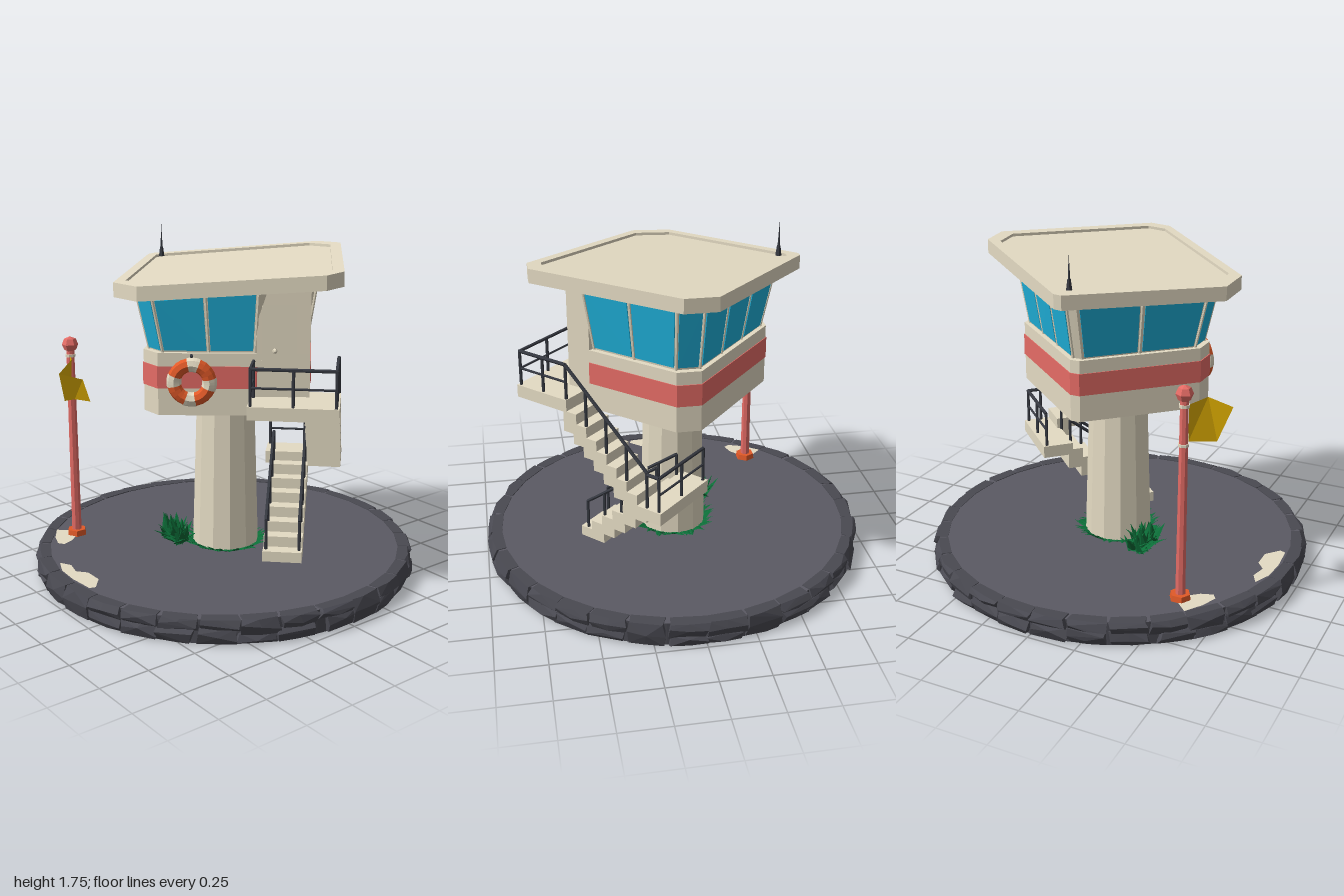
import * as THREE from 'three';
import { mergeGeometries } from 'three/addons/utils/BufferGeometryUtils.js';
import { ConvexGeometry } from 'three/addons/geometries/ConvexGeometry.js';

const V = (x, y, z) => new THREE.Vector3(x, y, z);
const paint = (name, color, extra = {}) => {
  const m = new THREE.MeshStandardMaterial({ color, flatShading: true, ...extra });
  m.name = name;
  return m;
};

export function createModel() {
  const M = {
    cream: paint('cream', 0xe4dbc3), glass: paint('glass blue', 0x20b4de), red: paint('faded red', 0xe56c66),
    floor: paint('floor grey', 0x5b5a63), stone: paint('stone grey', 0x494951),
    green: paint('leaf green', 0x0c6e38, { side: THREE.DoubleSide }),
    yellow: paint('flag yellow', 0xe2b000, { side: THREE.DoubleSide }),
    orange: paint('orange', 0xe25a28), rail: paint('rail', 0x363941),
  };
  let seed = 7;
  const rnd = (a, b) => { seed = (seed * 16807) % 2147483647; return a + (b - a) * seed / 2147483647; };

  const root = new THREE.Group();
  root.name = 'watchtower';
  const group = (name) => { const g = new THREE.Group(); g.name = name; root.add(g); return g; };
  const add = (parent, name, geo, mat, x = 0, y = 0, z = 0) => {
    const m = new THREE.Mesh(geo, mat);
    m.name = name;
    m.position.set(x, y, z);
    parent.add(m);
    return m;
  };
  const hull = (pts) => new ConvexGeometry(pts);
  const bar = (a, b, r = 0.008) => {
    const d = b.clone().sub(a), g = new THREE.CylinderGeometry(r, r, d.length(), 6);
    g.applyQuaternion(new THREE.Quaternion().setFromUnitVectors(V(0, 1, 0), d.normalize()));
    const c = a.clone().add(b).multiplyScalar(0.5);
    return g.translate(c.x, c.y, c.z);
  };

  // Round base with a rim of rough stones, some whole and some split in two
  const base = group('base');
  add(base, 'groundDisc', new THREE.CylinderGeometry(0.965, 0.965, 0.12, 64), [M.stone, M.floor, M.stone], 0, 0.06, 0);
  const stones = [];
  const stone = (a0, a1, y0, y1) => {
    const pts = [];
    for (const a of [a0, (a0 + a1) / 2, a1]) {
      const at = (r, y, da = 0) => pts.push(V(Math.sin(a + da) * r, y, Math.cos(a + da) * r));
      at(0.92, y0); at(0.92, y1);
      at(rnd(0.965, 0.985), y0, rnd(-0.015, 0.015)); at(rnd(0.965, 0.985), y1, rnd(-0.015, 0.015));
      at(rnd(0.985, 1), (y0 + y1) / 2 + rnd(-0.02, 0.02));
    }
    stones.push(hull(pts));
  };
  const slots = 32, step = Math.PI * 2 / slots;
  for (let i = 0; i < slots; i++) {
    const a0 = (i + rnd(0.02, 0.08)) * step, a1 = (i + rnd(0.95, 1.02)) * step, top = 0.125 - rnd(0, 0.003);
    if (rnd(0, 1) < 0.3) { stone(a0, a1, 0.004, top); continue; }
    const mid = rnd(0.035, 0.08), shift = rnd(-0.2, 0.2) * step;
    stone(a0, a1, mid, top);
    stone(a0 + shift, a1 + shift, 0.004, mid + 0.008);
  }
  add(base, 'rimStones', mergeGeometries(stones), M.stone);
  const patch = (pts) => {
    const g = new THREE.ShapeGeometry(new THREE.Shape(pts.map(([x, z]) => new THREE.Vector2(x, -z))));
    add(base, 'sandPatch', g.rotateX(-Math.PI / 2), M.cream, 0, 0.123, 0);
  };
  patch([[-0.65, 0.65], [-0.6, 0.6], [-0.53, 0.59], [-0.47, 0.66], [-0.45, 0.72], [-0.48, 0.74], [-0.56, 0.71]]);
  patch([[-0.25, 0.86], [-0.19, 0.83], [-0.11, 0.85], [-0.06, 0.81], [0.04, 0.81], [0.11, 0.87], [0.1, 0.9], [-0.04, 0.91], [-0.16, 0.9]]);

  // Column
  add(root, 'column', new THREE.CylinderGeometry(0.15, 0.175, 0.8, 12), M.cream, 0, 0.51, -0.01);

  // Cabin: plan outline, with a solid door corner between P and Q
  const cx = 0.03, cz = -0.03;
  const P = [0.37, 0.09], Q = [0.44, -0.195], R1 = [0.5, -0.07], R2 = [0.535, -0.108];
  const glazed = [P, [0.07, 0.46], [-0.05, 0.46], [-0.48, 0.02], [-0.48, -0.03], [-0.05, -0.53], [0.07, -0.53], Q];
  const roofY = (x, z) => 1.597 + 0.031 * x - 0.072 * z;
  const ring = (pts, k, y) => pts.map(([x, z]) => {
    const px = cx + (x - cx) * k, pz = cz + (z - cz) * k;
    return V(px, typeof y === 'function' ? y(px, pz) : y, pz);
  });
  const prism = (pts, k0, y0, k1, y1) => hull([...ring(pts, k0, y0), ...ring(pts, k1, y1)]);
  const ceiling = (x, z) => roofY(x, z) - 0.065;
  const cabin = group('cabin');
  add(cabin, 'cabinBody', prism([...glazed, R2, R1], 1, 0.905, 1, 1.215), M.cream);
  add(cabin, 'cabinStripe', prism(glazed, 1.01, 1.04, 1.01, 1.15), M.red);
  add(cabin, 'doorCorner', prism([P, R1, R2, Q, [0.2, -0.03]], 1, 1.2, 1, ceiling), M.cream);
  add(cabin, 'windowWall', prism(glazed, 0.935, 1.21, 1.07, ceiling), M.cream);

  // Thin plate on a sloped quad: lower edge a0-b0, upper edge a1-b1
  const plate = (a0, b0, a1, b1, u0, u1, v0, v1, out) => {
    const n = b0.clone().sub(a0).cross(a1.clone().sub(a0)).normalize();
    if (n.x * (a0.x + b0.x - 2 * cx) + n.z * (a0.z + b0.z - 2 * cz) < 0) n.negate();
    const pts = [];
    for (const u of [u0, u1]) for (const v of [v0, v1]) {
      const p = a0.clone().lerp(b0, u).lerp(a1.clone().lerp(b1, u), v);
      pts.push(p.clone().addScaledVector(n, -0.003), p.addScaledVector(n, out));
    }
    return hull(pts);
  };
  const low = ring(glazed, 0.935, 1.21), high = ring(glazed, 1.07, ceiling);
  [[0, 2], [1, 1], [2, 2], [4, 3], [5, 1], [6, 2]].forEach(([i, panes]) => {
    const q = [low[i], low[i + 1], high[i], high[i + 1]], m = panes === 1 ? 0.07 : 0.022;
    for (let k = 0; k < panes; k++) {
      add(cabin, 'windowPane', plate(...q, k / panes + m, (k + 1) / panes - m, 0.05, 0.91, 0.006), M.glass);
    }
    for (let k = 0; k <= panes; k++) {
      add(cabin, 'windowMullion', bar(q[0].clone().lerp(q[1], k / panes), q[2].clone().lerp(q[3], k / panes)), M.cream);
    }
  });
  const d = [V(P[0], 1, P[1]), V(R1[0], 1, R1[1]), V(P[0], 1.45, P[1]), V(R1[0], 1.45, R1[1])];
  add(cabin, 'door', plate(...d, 0.12, 0.92, 0, 1, 0.005), M.cream);
  add(cabin, 'doorHandle', new THREE.IcosahedronGeometry(0.014, 0), M.cream, 0.435, 1.23, 0.03);

  // Tilted roof with a raised rim
  const roof = group('roof');
  const plan = [[-0.645, -0.02], [-0.645, 0.02], [-0.09, 0.6], [0.11, 0.6], [0.71, -0.04], [0.71, -0.15], [0.075, -0.727], [-0.09, -0.71]];
  const drop = (h) => (x, z) => roofY(x, z) - h;
  add(roof, 'roofSlab', prism(plan, 0.99, drop(0.07), 0.99, drop(0.014)), M.cream);
  const outer = [ring(plan, 1, drop(0.071)), ring(plan, 1, drop(0))], inner = [ring(plan, 0.9, drop(0.06)), ring(plan, 0.9, drop(0))];
  plan.forEach((_, i) => {
    const j = (i + 1) % plan.length;
    add(roof, 'roofRim', hull([...outer, ...inner].flatMap((r) => [r[i], r[j]])), M.cream);
  });
  add(roof, 'antennaBase', new THREE.CylinderGeometry(0.009, 0.016, 0.05, 6), M.rail, -0.54, 1.6, 0.005);
  add(roof, 'antenna', new THREE.ConeGeometry(0.008, 0.15, 6), M.rail, -0.54, 1.672, 0.005);

  // Lifebuoy: four orange arcs with cream bands between
  const buoy = group('lifebuoy');
  buoy.position.set(0.2, 1.08, 0.353);
  buoy.rotation.y = Math.atan2(0.777, 0.63);
  for (let i = 0; i < 4; i++) {
    const arcs = [['buoyArc', M.orange, 1.0, 0, 0.034], ['buoyBand', M.cream, Math.PI / 2 - 1.0, 1.0, 0.036]];
    for (const [name, mat, arc, start, tube] of arcs) {
      add(buoy, name, new THREE.TorusGeometry(0.086, tube, 8, 4, arc), mat).rotation.z = i * Math.PI / 2 + start + 0.2;
    }
  }
  add(buoy, 'buoyHook', bar(V(0, 0.1, -0.03), V(0, 0.135, 0.01)), M.rail);

  // Stairs, in a frame turned 45 degrees: x runs along the flights, z = -t points inward
  const stairs = group('stairs');
  stairs.rotation.y = -Math.PI / 4;
  const block = (name, s0, s1, t0, t1, y0, y1) =>
    add(stairs, name, new THREE.BoxGeometry(s1 - s0, y1 - y0, t1 - t0), M.cream, (s0 + s1) / 2, (y0 + y1) / 2, -(t0 + t1) / 2);
  block('upperLanding', 0.2, 0.515, 0.17, 0.605, 0.935, 1.0);
  block('middleLanding', -0.36, -0.2, 0.2, 0.605, 0.49, 0.555);
  for (let i = 0; i < 7; i++) {
    const top = 0.175 + i * 0.055, s = 0.28 - i * 0.069;
    block('lowerStep', s - 0.08, s, 0.23, 0.43, Math.max(0.115, top - 0.11), top);
    block('upperStep', -0.22 + i * 0.06, -0.14 + i * 0.06, 0.43, 0.605, 0.5 + i * 0.055, 0.61 + i * 0.055);
  }

  // Railings: posts with a top rail and, on the landings, a middle rail
  const railing = (name, a, b, posts, h, mids = [0.52]) => {
    const parts = [], up = (p, k) => p.clone().setY(p.y + h * k);
    for (let i = 0; i < posts; i++) {
      const p = a.clone().lerp(b, i / (posts - 1));
      parts.push(bar(p, up(p, 1)));
    }
    for (const k of [1, ...mids]) parts.push(bar(up(a, k), up(b, k), k === 1 ? 0.009 : 0.006));
    add(stairs, name, mergeGeometries(parts), M.rail);
  };
  const T = (s, y, t) => V(s, y, -t);
  railing('landingRail', T(0.34, 0.99, 0.185), T(0.5, 0.99, 0.185), 2, 0.19);
  railing('landingRail', T(0.5, 0.99, 0.185), T(0.5, 0.99, 0.59), 3, 0.19);
  railing('landingRail', T(0.5, 0.99, 0.59), T(0.21, 0.99, 0.59), 3, 0.19);
  railing('upperFlightRail', T(0.21, 0.98, 0.59), T(-0.27, 0.545, 0.59), 5, 0.2, []);
  railing('middleLandingRail', T(-0.34, 0.545, 0.59), T(-0.34, 0.545, 0.215), 3, 0.19);
  railing('middleLandingRail', T(-0.34, 0.545, 0.59), T(-0.27, 0.545, 0.59), 2, 0.19, []);
  for (const t of [0.245, 0.415]) railing('lowerFlightRail', T(0.245, 0.16, t), T(-0.2, 0.5, t), 5, 0.17, []);

  // Flagpole and flag
  const pole = group('flagpole');
  pole.position.set(-0.545, 0, 0.585);
  add(pole, 'poleFoot', new THREE.CylinderGeometry(0.05, 0.055, 0.03, 6), M.orange, 0, 0.135, 0);
  add(pole, 'pole', new THREE.CylinderGeometry(0.021, 0.026, 1.02, 8), M.red, 0, 0.64, 0);
  add(pole, 'poleTop', new THREE.SphereGeometry(0.042, 6, 4), M.red, 0, 1.168, 0);
  for (const y of [0.92, 1.11]) add(pole, 'flagTie', new THREE.CylinderGeometry(0.027, 0.027, 0.014, 8), M.cream, 0, y, 0);
  // Columns of x, top y, bottom y, top z, bottom z
  const cols = [[-0.525, 1.11, 0.93, 0.6, 0.6], [-0.42, 1.12, 0.91, 0.65, 0.7], [-0.37, 1.07, 0.925, 0.755, 0.67], [-0.285, 1.045, 0.925, 0.67, 0.63]];
  const flag = new THREE.PlaneGeometry(1, 1, 3, 1), fp = flag.attributes.position;
  cols.forEach(([x, y1, y0, z1, z0], i) => { fp.setXYZ(i, x, y1, z1); fp.setXYZ(i + 4, x, y0, z0); });
  flag.computeVertexNormals();
  add(root, 'flag', flag, M.yellow);

  // Plants round the foot of the column
  const leaf = (x, z, dir, tilt, len) => {
    const g = new THREE.ConeGeometry(len * 0.25, len, 4).translate(0, len / 2, 0).scale(1, 1, 0.35);
    return g.rotateX(tilt).rotateY(dir).translate(x, 0.12, z);
  };
  const leaves = [];
  for (let i = 0; i < 64; i++) leaves.push(leaf(-0.155 + rnd(-0.07, 0.07), 0.2 + rnd(-0.03, 0.03), rnd(0, 6.28), rnd(0.1, 1.25), rnd(0.09, 0.14)));
  for (let i = 0; i < 70; i++) {
    const a = i / 70 * Math.PI * 2;
    leaves.push(leaf(Math.sin(a) * 0.172, Math.cos(a) * 0.172 - 0.01, a + rnd(-0.9, 0.9), rnd(0.95, 1.4), rnd(0.05, 0.075)));
  }
  add(root, 'plants', mergeGeometries(leaves), M.green);
  return root;
}
